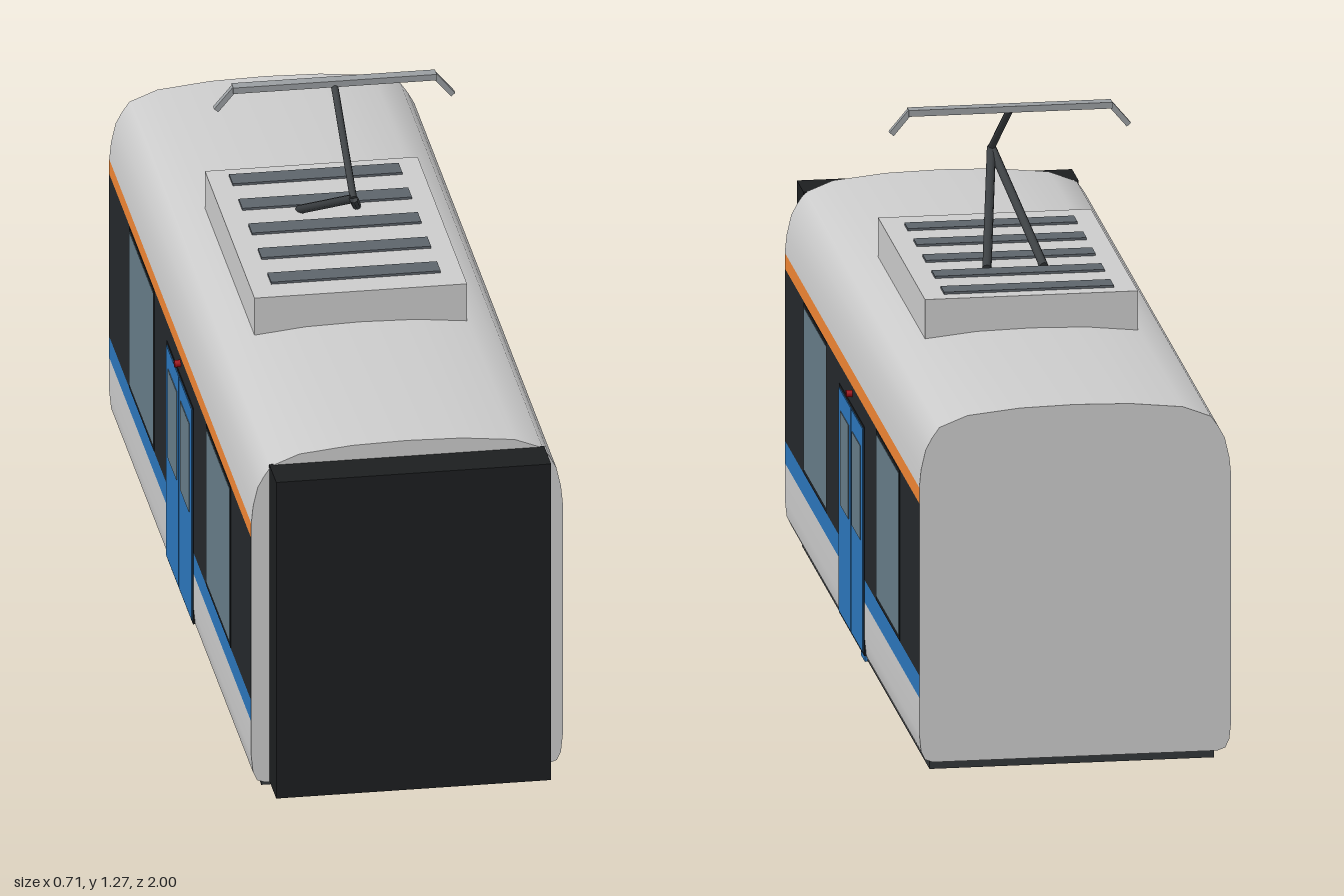
import * as THREE from 'three';

const BACK = -1, FRONT = 0.91, WALL = 0.34, DOOR_Z = -0.045;
const mat = (color, side = THREE.FrontSide) =>
  new THREE.MeshStandardMaterial({ color, side });
const COLORS = {
  body: 0xcccccc, blue: 0x2c76bb, orange: 0xf08634, dark: 0x24282c, black: 0x1c1e20,
  glass: 0x667c88, frame: 0x33373a, slat: 0x5d646b, arm: 0x3a3e41, steel: 0x9a9ea1,
  wheel: 0x66635e, red: 0xa01018,
};
const M = Object.fromEntries(Object.entries(COLORS).map(([k, c]) => [k, mat(c)]));
const SHELL = Object.fromEntries(['body', 'blue', 'orange', 'dark']
  .map((k) => [k, mat(COLORS[k], THREE.DoubleSide)]));

function add(parent, name, geometry, material, x = 0, y = 0, z = 0) {
  const mesh = new THREE.Mesh(geometry, material);
  mesh.name = name;
  mesh.position.set(x, y, z);
  parent.add(mesh);
  return mesh;
}

// Box given by its limits on each axis
function box(parent, name, material, [x0, x1], [y0, y1], [z0, z1]) {
  return add(parent, name, new THREE.BoxGeometry(x1 - x0, y1 - y0, z1 - z0), material,
    (x0 + x1) / 2, (y0 + y1) / 2, (z0 + z1) / 2);
}

// Skin swept along z from an anticlockwise run of [x, y] points
function skin(points) {
  const pos = [], index = [];
  points.forEach(([x, y], i) => {
    pos.push(x, y, BACK, x, y, FRONT);
    if (i) {
      const a = 2 * (i - 1);
      index.push(a, a + 2, a + 1, a + 1, a + 2, a + 3);
    }
  });
  const g = new THREE.BufferGeometry();
  g.setAttribute('position', new THREE.Float32BufferAttribute(pos, 3));
  g.setIndex(index);
  g.computeVertexNormals();
  return g;
}

const mirror = (pts) => pts.map(([x, y]) => [-x, y]).reverse();

// Straight bar between two points
function rod(parent, name, material, a, b, radius) {
  const from = new THREE.Vector3(...a), to = new THREE.Vector3(...b);
  const dir = to.clone().sub(from);
  const mesh = add(parent, name,
    new THREE.CylinderGeometry(radius, radius, dir.length(), 8), material);
  mesh.position.copy(from).add(to).multiplyScalar(0.5);
  mesh.quaternion.setFromUnitVectors(new THREE.Vector3(0, 1, 0), dir.normalize());
  return mesh;
}

function createBody() {
  const body = new THREE.Group();
  body.name = 'body';
  const skirt = [[0.31, 0.065], [0.327, 0.071], [0.336, 0.09], [WALL, 0.13], [WALL, 0.21]];
  const roofHalf = [[WALL, 0.68], [0.336, 0.72], [0.326, 0.764], [0.312, 0.79], [0.296, 0.813],
    [0.235, 0.837], [0.12, 0.849]];
  const roof = [...roofHalf, [0, 0.852], ...mirror(roofHalf)];
  const bands = [
    ['skirt', SHELL.body, skirt],
    ['blueStripe', SHELL.blue, [[WALL, 0.21], [WALL, 0.26]]],
    ['windowBand', SHELL.dark, [[WALL, 0.26], [WALL, 0.645]]],
    ['orangeStripe', SHELL.orange, [[WALL, 0.645], [WALL, 0.68]]],
  ];
  for (const [name, material, pts] of bands) {
    add(body, name + 'Left', skin(pts), material);
    add(body, name + 'Right', skin(mirror(pts)), material);
  }
  add(body, 'roof', skin(roof), SHELL.body);

  // End walls share the full cross-section
  const section = new THREE.Shape(
    [...skirt, ...roof, ...mirror(skirt)].map(([x, y]) => new THREE.Vector2(x, y)));
  add(body, 'frontWall', new THREE.ShapeGeometry(section), SHELL.body, 0, 0, FRONT);
  add(body, 'backWall', new THREE.ShapeGeometry(section), SHELL.body, 0, 0, BACK)
    .rotation.y = Math.PI;
  return body;
}

// Windows, doors, lamp and step of one side (s = 1 left, -1 right)
function createSide(s) {
  const side = new THREE.Group();
  side.name = s > 0 ? 'leftSide' : 'rightSide';
  const panel = (name, material, out, y, z) =>
    box(side, name, material, s > 0 ? [0.33, out] : [-out, -0.33], y, z);

  for (const [z0, z1] of [[0.315, 0.63], [-0.72, -0.402]]) {
    panel('windowFrame', M.black, 0.341, [0.262, 0.643], [z0 - 0.008, z1 + 0.008]);
    panel('window', M.glass, 0.342, [0.272, 0.635], [z0, z1]);
  }

  panel('doorFrame', M.black, 0.341, [0.09, 0.602], [DOOR_Z - 0.178, DOOR_Z + 0.178]);
  for (const d of [-1, 1]) {
    const span = (a, b) => [DOOR_Z + d * a, DOOR_Z + d * b].sort((p, q) => p - q);
    panel('door', M.blue, 0.343, [0.096, 0.595], span(0.003, 0.17));
    panel('doorWindow', M.glass, 0.3445, [0.34, 0.55], span(0.025, 0.143));
  }

  const lamp = add(side, 'doorLamp', new THREE.CylinderGeometry(0.008, 0.008, 0.014, 12),
    M.red, s * 0.346, 0.628, DOOR_Z);
  lamp.rotation.z = Math.PI / 2;
  box(side, 'step', M.blue, s > 0 ? [0.28, 0.316] : [-0.316, -0.28],
    [0.034, 0.068], [DOOR_Z - 0.026, DOOR_Z + 0.026]);
  return side;
}

function createRoofUnit() {
  const unit = new THREE.Group();
  unit.name = 'roofUnit';
  box(unit, 'roofBox', M.body, [-0.232, 0.232], [0.83, 0.925], [-0.378, 0.288]);
  for (let i = 0; i < 5; i++) {
    const z = 0.198 - i * 0.129;
    box(unit, 'ventSlat', M.slat, [-0.185, 0.185], [0.92, 0.93], [z - 0.025, z + 0.025]);
  }
  return unit;
}

function createPantograph() {
  const p = new THREE.Group();
  p.name = 'pantograph';
  const knee = [0, 1.1, 0.19], head = [0, 1.255, -0.07];
  for (const s of [-1, 1]) {
    rod(p, 'lowerArm', M.arm, [s * 0.062, 0.925, -0.15], knee, 0.01);
    // Downturned horn at the end of the contact bar
    const horn = box(p, 'horn', M.steel, [-0.032, 0.032], [-0.006, 0.006], [-0.007, 0.007]);
    horn.position.set(s * 0.238, 1.237, -0.07);
    horn.rotation.z = -s * 0.87;
  }
  rod(p, 'upperArm', M.arm, knee, head, 0.008);
  box(p, 'contactBar', M.steel, [-0.222, 0.222], [1.252, 1.266], [-0.083, -0.057]);
  return p;
}

function createUnderside() {
  const u = new THREE.Group();
  u.name = 'underside';
  box(u, 'underframe', M.frame, [-0.31, 0.31], [0.036, 0.068], [-0.95, 0.86]);
  for (const z of [0.243, -0.327]) {
    for (const x of [-0.193, 0.193]) {
      add(u, 'wheel', new THREE.CylinderGeometry(0.07, 0.07, 0.03, 32), M.wheel, x, 0.07, z)
        .rotation.z = Math.PI / 2;
    }
  }
  return u;
}

export function createModel() {
  const model = new THREE.Group();
  model.name = 'railCar';
  model.add(createBody(), createSide(1), createSide(-1), createRoofUnit(),
    createPantograph(), createUnderside());
  box(model, 'gangway', M.black, [-0.3, 0.3], [0.066, 0.815], [0.905, 1]);
  return model;
}
